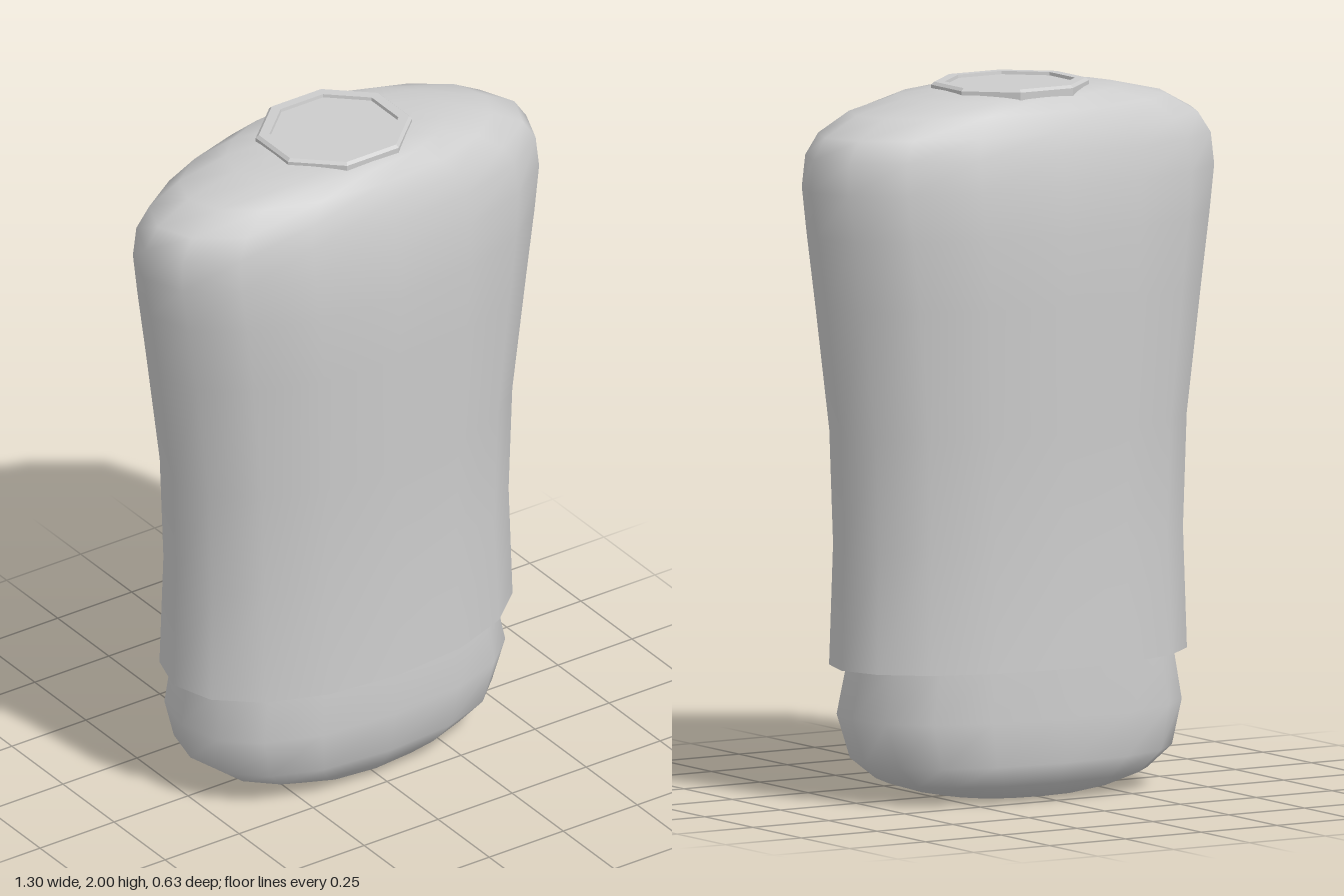
import * as THREE from 'three';

const SIDES = 16;

// Skin a stack of oval sections [y, halfWidth, halfDepth, zCentre], bottom to top.
// A power below 1 makes the ovals boxier.
function loft(sections, power = 1) {
  const pos = [], index = [];
  const bend = v => Math.sign(v) * Math.abs(v) ** power;
  for (const [y, rx, rz, cz = 0] of sections) {
    for (let i = 0; i < SIDES; i++) {
      const a = (i / SIDES) * Math.PI * 2;
      pos.push(rx * bend(Math.cos(a)), y, cz + rz * bend(Math.sin(a)));
    }
  }
  for (let r = 0; r < sections.length - 1; r++) {
    for (let i = 0; i < SIDES; i++) {
      const j = (i + 1) % SIDES;
      const a = r * SIDES + i, b = r * SIDES + j;
      index.push(a, a + SIDES, b, b, a + SIDES, b + SIDES);
    }
  }
  const g = new THREE.BufferGeometry();
  g.setAttribute('position', new THREE.Float32BufferAttribute(pos, 3));
  g.setIndex(index);
  g.computeVertexNormals();
  return g;
}

export function createModel() {
  const group = new THREE.Group();
  const grey = new THREE.MeshStandardMaterial({ color: 0xcccccc });
  grey.name = 'plain grey';
  const add = (name, geometry) => {
    const mesh = new THREE.Mesh(geometry, grey);
    mesh.name = name;
    group.add(mesh);
    return mesh;
  };

  // Shirt: flared hem, narrow waist, broad rounded shoulders
  add('shirt', loft([
    [0.38, 0.55, 0.312],
    [0.72, 0.54, 0.297],
    [1.04, 0.552, 0.302],
    [1.40, 0.60, 0.313],
    [1.60, 0.63, 0.313],
    [1.73, 0.65, 0.301],
    [1.82, 0.643, 0.282],
    [1.88, 0.602, 0.263],
    [1.935, 0.50, 0.238],
    [1.972, 0.34, 0.208],
    [1.985, 0.20, 0.15],
    [1.985, 0, 0],
  ], 0.95));

  // Underside of the hem
  add('shirtHem', loft([[0.38, 0.46, 0.25], [0.38, 0.55, 0.312]], 0.95));

  // Pelvis: rounded block showing below the hem
  add('pelvis', loft([
    [0.004, 0, 0, -0.01],
    [0.008, 0.22, 0.17, -0.01],
    [0.02, 0.29, 0.205, -0.01],
    [0.055, 0.405, 0.247, -0.018],
    [0.115, 0.482, 0.285, -0.015],
    [0.24, 0.52, 0.294, -0.006],
    [0.40, 0.487, 0.284, -0.012],
  ], 0.85));

  // Eight-sided collar with a shallow sunken centre
  const profile = [
    [0.227, 1.95], [0.227, 1.992], [0.218, 2], [0.187, 2], [0.185, 1.991], [0, 1.991],
  ].map(([r, y]) => new THREE.Vector2(r, y));
  const collar = new THREE.LatheGeometry(profile, 8, Math.PI / 8).toNonIndexed();
  collar.scale(1, 1, 0.91);
  collar.computeVertexNormals();
  add('collar', collar).position.z = -0.01;

  return group;
}
